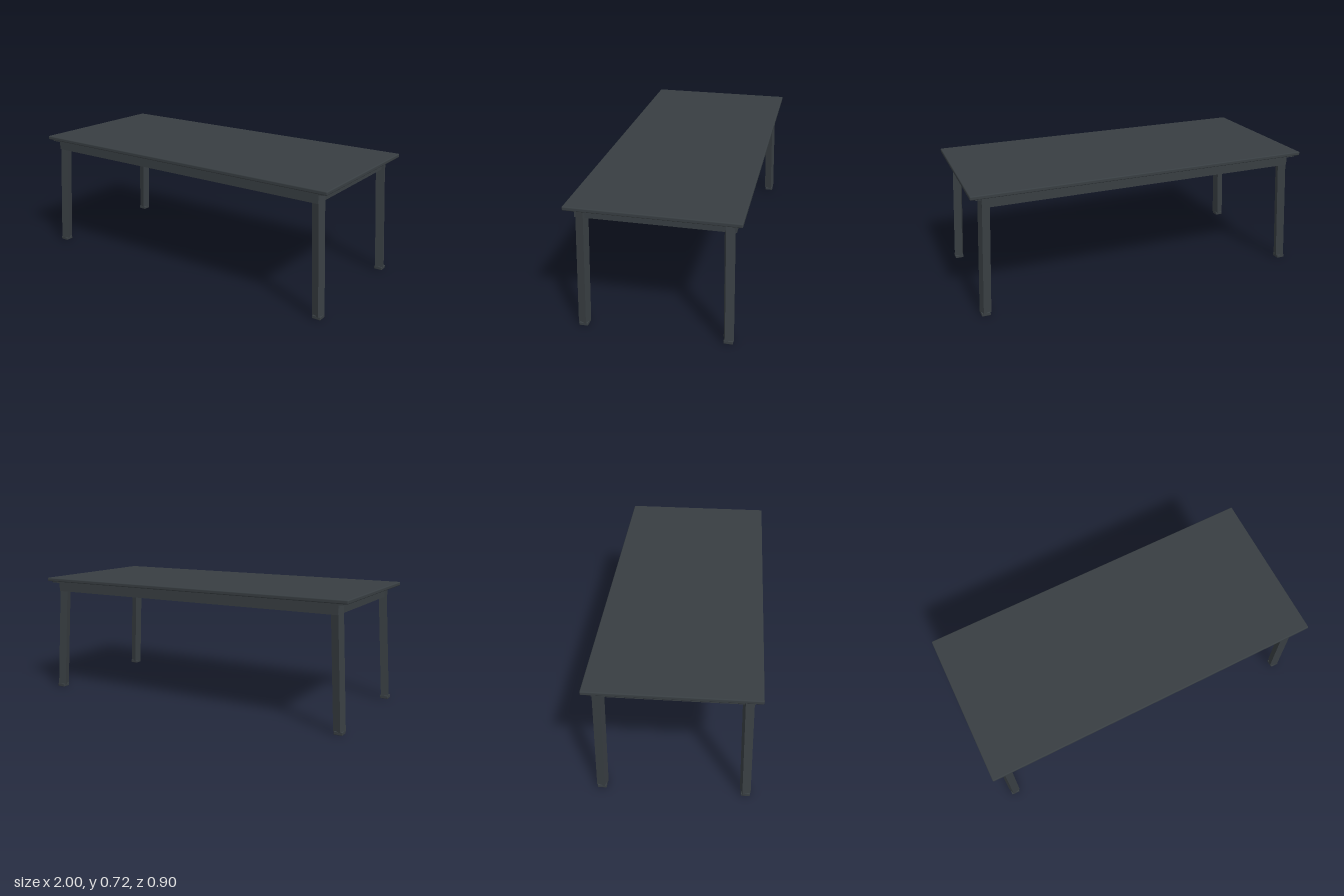
import * as THREE from 'three';
import { RoundedBoxGeometry } from 'three/addons/geometries/RoundedBoxGeometry.js';

export function createModel() {
  const table = new THREE.Group();
  table.name = 'table';
  const anthracite = new THREE.MeshStandardMaterial({ color: 0x383e42 });
  anthracite.name = 'anthracite';

  const add = (name, geometry, x, y, z) => {
    const mesh = new THREE.Mesh(geometry, anthracite);
    mesh.name = name;
    mesh.position.set(x, y, z);
    table.add(mesh);
    return mesh;
  };

  // Top board with softened edges, and the thin panel beneath it
  add('tableTop', new RoundedBoxGeometry(2, 0.022, 0.904, 3, 0.006), 0, 0.706, 0);
  add('underPanel', new THREE.BoxGeometry(1.94, 0.009, 0.874), 0, 0.691, 0);

  // Apron rails
  for (const s of [1, -1]) {
    add(s > 0 ? 'frontRail' : 'backRail', new THREE.BoxGeometry(1.87, 0.056, 0.03), 0, 0.66, s * 0.4);
    add(s > 0 ? 'leftRail' : 'rightRail', new THREE.BoxGeometry(0.03, 0.056, 0.77), s * 0.92, 0.66, 0);
  }

  // Square leg, turned slightly on its axis and sheared outwards toward the floor
  const legGeometry = (sx, sz) => {
    const bottom = 0.016, top = 0.682;
    const g = new THREE.BoxGeometry(0.047, top - bottom, 0.047);
    g.rotateY(-0.3 * sx * sz);
    g.translate(0, (top + bottom) / 2, 0);
    const p = g.attributes.position;
    for (let i = 0; i < p.count; i++) {
      const y = p.getY(i);
      p.setX(i, p.getX(i) + sx * (0.957 - 0.06 * y));
      p.setZ(i, p.getZ(i) + sz * (0.393 - 0.021 * y));
    }
    g.computeVertexNormals();
    return g;
  };

  // Four legs with foot caps
  for (const sx of [1, -1]) {
    for (const sz of [1, -1]) {
      const corner = (sz > 0 ? 'front' : 'back') + (sx > 0 ? 'Left' : 'Right');
      add(corner + 'Leg', legGeometry(sx, sz), 0, 0, 0);
      add(corner + 'Foot', new RoundedBoxGeometry(0.05, 0.02, 0.05, 2, 0.004), sx * 0.957, 0.01, sz * 0.393);
    }
  }
  return table;
}
